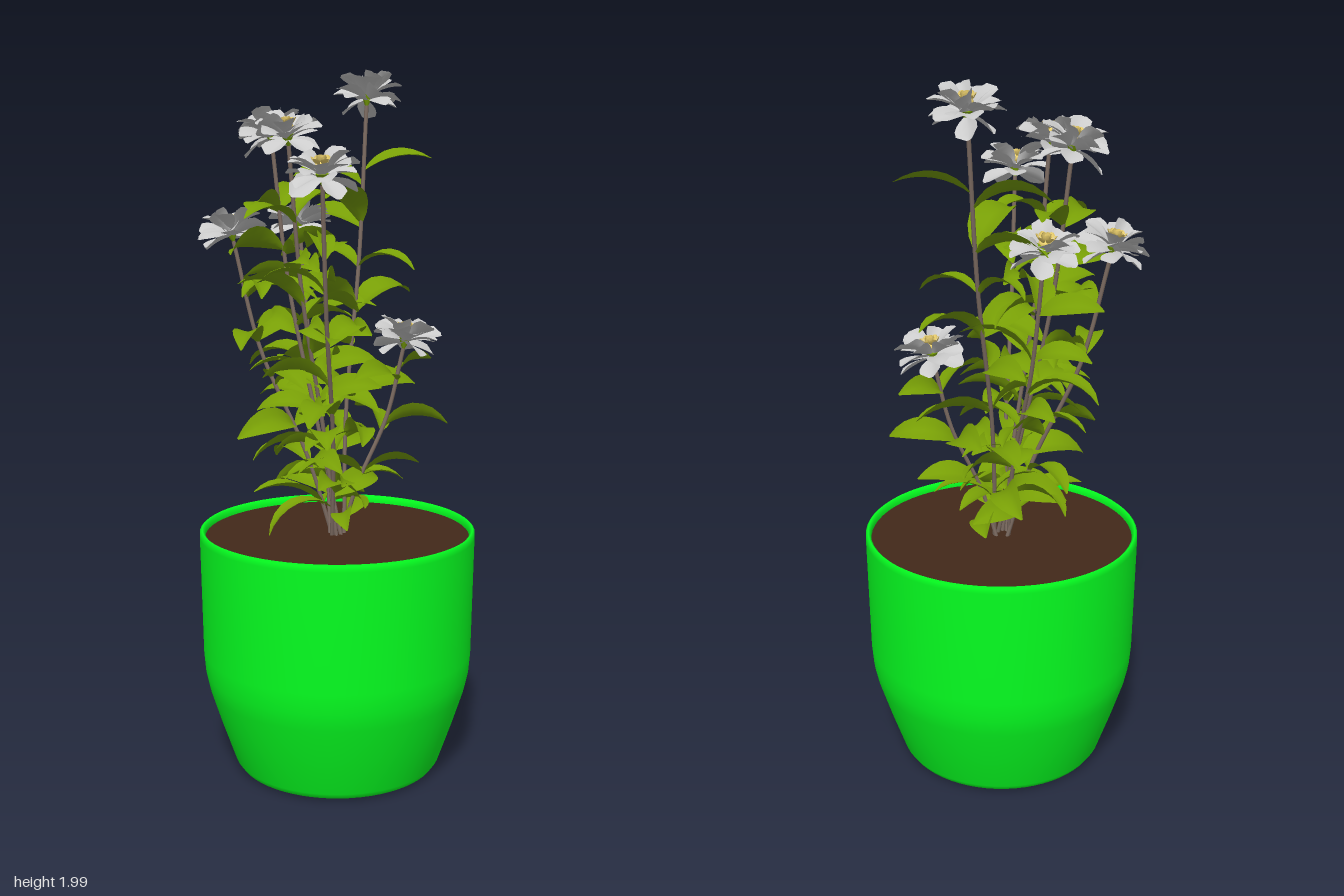
import * as THREE from 'three';
import { mergeGeometries } from 'three/addons/utils/BufferGeometryUtils.js';

const mat = (color, side = THREE.FrontSide) => new THREE.MeshStandardMaterial({ color, side });
const potMat = mat(0x05ff20, THREE.DoubleSide);
const soilMat = mat(0x42291a);
const stemMat = mat(0x7d6c62);
const leafMat = mat(0x789f06, THREE.DoubleSide);
const petalMat = mat(0xcccccc, THREE.DoubleSide);
const centreMat = mat(0xf0d470, THREE.DoubleSide);

let seed = 11;
const rand = (a, b) => {
  seed = (seed * 16807) % 2147483647;
  return a + (b - a) * (seed / 2147483647);
};

const leafOutline = t => Math.max(0.07, Math.sin(Math.PI * Math.pow(t, 0.95)) ** 0.85);
const petalOutline = t => Math.max(0.2, Math.pow(t, 0.6) * Math.sqrt(Math.max(0, 1 - t ** 4)) * 1.15);

// Curved blade growing along +x; pitch runs from p0 to p1, edges lifted by cup
function blade(length, width, p0, p1, cup, outline, rows = 8) {
  const g = new THREE.PlaneGeometry(1, 1, 4, rows);
  const pos = g.attributes.position, path = [[0, 0]];
  const pitch = t => p0 + (p1 - p0) * t;
  for (let i = 0; i < rows; i++) {
    const a = pitch((i + 0.5) / rows), [x, y] = path[i];
    path.push([x + Math.cos(a) * length / rows, y + Math.sin(a) * length / rows]);
  }
  for (let i = 0; i < pos.count; i++) {
    const t = pos.getY(i) + 0.5, s = pos.getX(i) * 2;
    const [x, y] = path[Math.round(t * rows)], a = pitch(t);
    const half = width / 2 * outline(t), lift = cup * half * Math.abs(s) ** 1.4;
    pos.setXYZ(i, x - Math.sin(a) * lift, y + Math.cos(a) * lift, s * half);
  }
  g.computeVertexNormals();
  return g;
}

function addMesh(parent, name, geometry, material) {
  const mesh = new THREE.Mesh(geometry, material);
  mesh.name = name;
  parent.add(mesh);
  return mesh;
}

// Layered ragged blossom: drooping rings below, upright rings above
function flower(radius) {
  const group = new THREE.Group();
  group.name = 'flower';
  const rings = [
    // count, length, width, start pitch, end pitch, height, inset
    [5, 0.9, 0.8, -0.1, -0.5, 0.15, 0.08],
    [6, 0.95, 0.8, 0.4, -0.2, 0.2, 0.08],
    [6, 0.92, 0.8, 0.75, 0.05, 0.28, 0.1],
    [5, 0.78, 0.7, 1.05, 0.25, 0.34, 0.18],
  ];
  const petals = [];
  rings.forEach(([n, len, wid, p0, p1, h, inset], r) => {
    for (let i = 0; i < n; i++) {
      const k = rand(0.9, 1.1), tilt = rand(-0.25, 0.25);
      const g = blade(len * k * radius, wid * radius, p0 + tilt, p1 + tilt, 0.3, petalOutline, 5);
      g.rotateX(rand(-0.6, 0.6)).translate(inset * radius, h * radius, 0);
      petals.push(g.rotateY((i + r * 0.5) / n * Math.PI * 2 + rand(-0.15, 0.15)));
    }
  });
  addMesh(group, 'petals', mergeGeometries(petals), petalMat);

  // Furled heart on a small dome
  const heart = [];
  [[6, 0.14, 0.6], [5, 0.06, 1.0]].forEach(([n, r, p]) => {
    for (let i = 0; i < n; i++) {
      const g = blade(0.24 * radius, 0.3 * radius, p, p + 0.6, 0.3, petalOutline, 4);
      g.translate(r * radius, 0.55 * radius, 0);
      heart.push(g.rotateY(i / n * Math.PI * 2 + r * 5));
    }
  });
  const dome = new THREE.SphereGeometry(0.2 * radius, 10, 6);
  heart.push(dome.scale(1, 0.7, 1).translate(0, 0.5 * radius, 0));
  addMesh(group, 'flowerHeart', mergeGeometries(heart), centreMat);

  const cup = new THREE.ConeGeometry(0.18 * radius, 0.4 * radius, 8);
  cup.rotateX(Math.PI).translate(0, 0.1 * radius, 0);
  addMesh(group, 'flowerCup', cup, leafMat);
  return group;
}

// Foliage stays above the pot and off its open front corner
const outside = (x, z) => Math.hypot(x, z) > 0.36 || (x > 0.1 && z > 0.12);

// Stem with opposite pairs of arching leaves and a flower on top
function branch([x, y, z], index) {
  const group = new THREE.Group();
  group.name = 'branch';
  const a = index / 7 * Math.PI * 2, base = 0.67, rise = y - base;
  const curve = new THREE.CatmullRomCurve3([
    new THREE.Vector3(Math.cos(a) * 0.02, base, Math.sin(a) * 0.02),
    new THREE.Vector3(x * 0.3, base + rise * 0.3, z * 0.3),
    new THREE.Vector3(x * 0.75, base + rise * 0.65, z * 0.75),
    new THREE.Vector3(x, y, z),
  ]);
  addMesh(group, 'stem', new THREE.TubeGeometry(curve, 24, 0.006, 6), stemMat);

  const leaves = [], pairs = Math.round(rise / 0.15);
  for (let i = 0; i < pairs * 2; i++) {
    const node = Math.floor(i / 2);
    const t = 0.14 + 0.69 * node / (pairs - 1) + rand(-0.025, 0.025), p = curve.getPointAt(t);
    const len = rand(0.17, 0.24);
    let yaw = (i % 2) * Math.PI + node * 1.75 + index * 1.3 + rand(-0.3, 0.3);
    for (let k = 0; k < 5 && outside(p.x + Math.cos(yaw) * len, p.z - Math.sin(yaw) * len); k++) yaw += 1.2;
    const g = blade(len, len * rand(0.34, 0.44), rand(0.6, 1.2), rand(-1.0, -0.3), 0.35, leafOutline);
    leaves.push(g.rotateX(rand(-0.75, 0.75)).rotateY(yaw).translate(p.x, p.y, p.z));
  }
  addMesh(group, 'leaves', mergeGeometries(leaves), leafMat);

  const bloom = flower(0.098);
  bloom.position.set(x, y, z);
  bloom.rotation.set(z * 0.8, 0, -x * 0.8);
  group.add(bloom);
  return group;
}

export function createModel() {
  const model = new THREE.Group();
  model.name = 'pottedPlant';

  // Pot: flat base with rounded edge, tapered foot, straight upper wall, rounded rim
  const profile = [
    [0, 0.008], [0.25, 0.008], [0.272, 0.01], [0.288, 0.018], [0.3, 0.035], [0.34, 0.15],
    [0.372, 0.25], [0.383, 0.3], [0.388, 0.36], [0.394, 0.7], [0.393, 0.715], [0.387, 0.72],
    [0.38, 0.714], [0.378, 0.7], [0.375, 0.6],
  ].map(([r, h]) => new THREE.Vector2(r, h));
  addMesh(model, 'pot', new THREE.LatheGeometry(profile, 64), potMat);

  const soil = new THREE.CylinderGeometry(0.379, 0.375, 0.05, 64);
  addMesh(model, 'soil', soil, soilMat).position.y = 0.673;

  // Flower base positions
  [
    [0.13, 1.905, -0.18], [-0.16, 1.8, -0.11], [-0.15, 1.79, 0.07], [-0.1, 1.69, 0.25],
    [-0.06, 1.55, -0.21], [-0.27, 1.53, -0.12], [0.19, 1.23, 0.01],
  ].forEach((p, i) => model.add(branch(p, i)));

  // Low wilted leaf by the base
  const wilted = blade(0.24, 0.06, 0.7, -1.3, 0.35, leafOutline);
  wilted.rotateY(Math.PI + 0.2).translate(-0.02, 0.78, 0.02);
  addMesh(model, 'wiltedLeaf', wilted, leafMat);
  return model;
}
